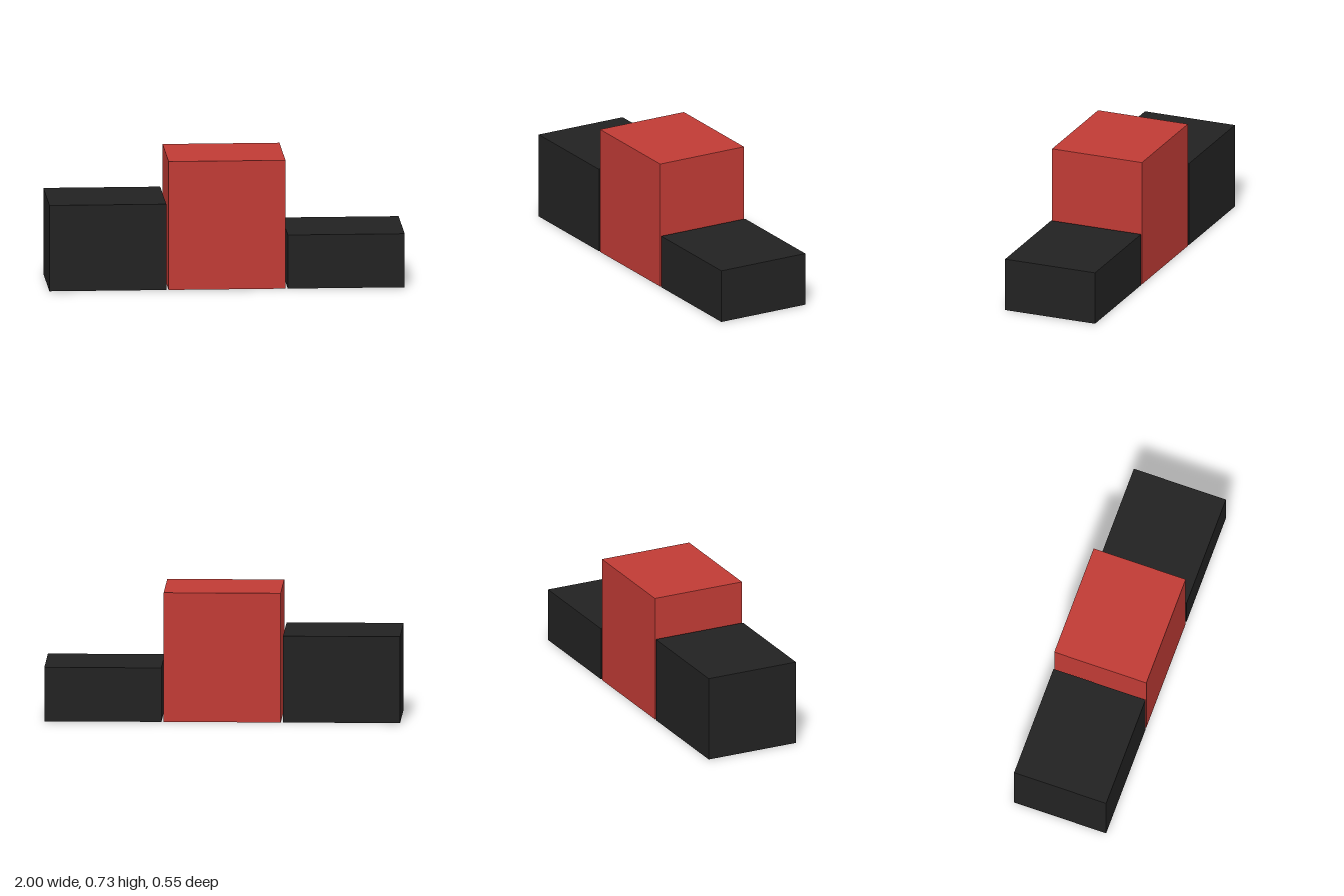
import * as THREE from 'three';

export function createModel() {
  const group = new THREE.Group();
  group.name = 'podium';

  const red = new THREE.MeshStandardMaterial({ color: 0xc03b35 });
  red.name = 'red';
  const black = new THREE.MeshStandardMaterial({ color: 0x222222 });
  black.name = 'black';

  const width = 0.658, depth = 0.549, spacing = 0.671;

  // One block standing on the ground; slot is its place along x
  const addStep = (name, slot, height, material) => {
    const step = new THREE.Mesh(new THREE.BoxGeometry(width, height, depth), material);
    step.name = name;
    step.position.set(slot * spacing, height / 2, 0);
    group.add(step);
  };

  addStep('secondPlaceStep', -1, 0.49, black);
  addStep('firstPlaceStep', 0, 0.733, red);
  addStep('thirdPlaceStep', 1, 0.306, black);

  return group;
}
